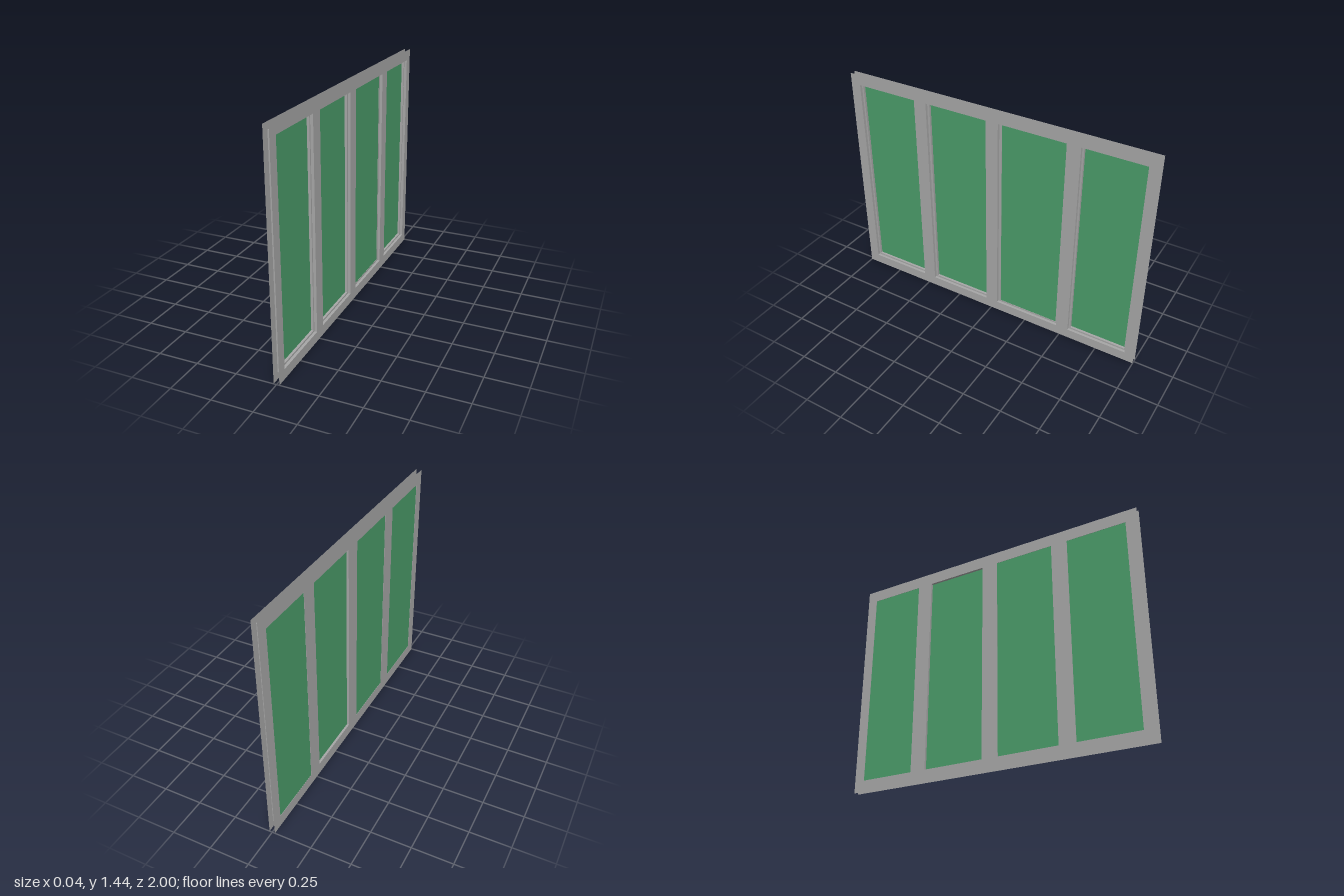
import * as THREE from 'three';

const frameGrey = new THREE.MeshStandardMaterial({ color: 0xa6a6a6, side: THREE.DoubleSide });
frameGrey.name = 'frame grey';
const glassGreen = new THREE.MeshStandardMaterial({ color: 0x4a9b69, side: THREE.DoubleSide });
glassGreen.name = 'glass green';

const HALF = 0.0175; // half the depth of the window

// Outer opening, pane extent [z min, z max] and pane depth of each light
const lights = [
  { open: [0.532, 0.936], pane: [0.542, 0.925], x: -0.0155 },
  { open: [0.037, 0.449], pane: [0.048, 0.435], x: -0.0155 },
  { open: [-0.476, -0.043], pane: [-0.463, -0.06], x: -0.002 },
  { open: [-0.941, -0.556], pane: [-0.931, -0.567], x: -0.0155 },
];
const OPEN_Y = [0.062, 1.373];
const PANE_Y = [0.073, 1.362];

// Rectangle drawn in the side plane, where shape x is -z
function rect(Type, [z0, z1], [y0, y1]) {
  return new Type([[-z1, y0], [-z0, y0], [-z0, y1], [-z1, y1]].map(([a, b]) => new THREE.Vector2(a, b)));
}

function panelShape(z, y, key) {
  const shape = rect(THREE.Shape, z, y);
  const holeY = key === 'open' ? OPEN_Y : PANE_Y;
  shape.holes = lights.map((l) => rect(THREE.Path, l[key], holeY));
  return shape;
}

function add(group, name, geometry, material, x) {
  geometry.rotateY(Math.PI / 2).translate(x, 0, 0);
  const mesh = new THREE.Mesh(geometry, material);
  mesh.name = name;
  group.add(mesh);
}

export function createModel() {
  const group = new THREE.Group();
  group.name = 'slidingWindow';
  const outer = [[-1, 1], [0, 1.44]];
  const core = [[-0.957, 0.953], [0.045, 1.398]];

  // Thin flanges overhanging both sides of the core
  add(group, 'outerFlange', new THREE.ShapeGeometry(panelShape(...outer, 'open')), frameGrey, HALF);
  add(group, 'innerFlange', new THREE.ShapeGeometry(panelShape(...outer, 'pane')), frameGrey, -HALF);

  // Core in two layers, giving each opening a stepped reveal
  const layer = { depth: HALF - 0.0003, bevelEnabled: false };
  add(group, 'outerCore', new THREE.ExtrudeGeometry(panelShape(...core, 'open'), layer), frameGrey, 0);
  add(group, 'innerCore', new THREE.ExtrudeGeometry(panelShape(...core, 'pane'), layer), frameGrey, -layer.depth);

  // Glass panes, the third on its own track
  lights.forEach((l, i) => {
    add(group, `pane${i + 1}`, new THREE.ShapeGeometry(rect(THREE.Shape, l.pane, PANE_Y)), glassGreen, l.x);
  });
  return group;
}
